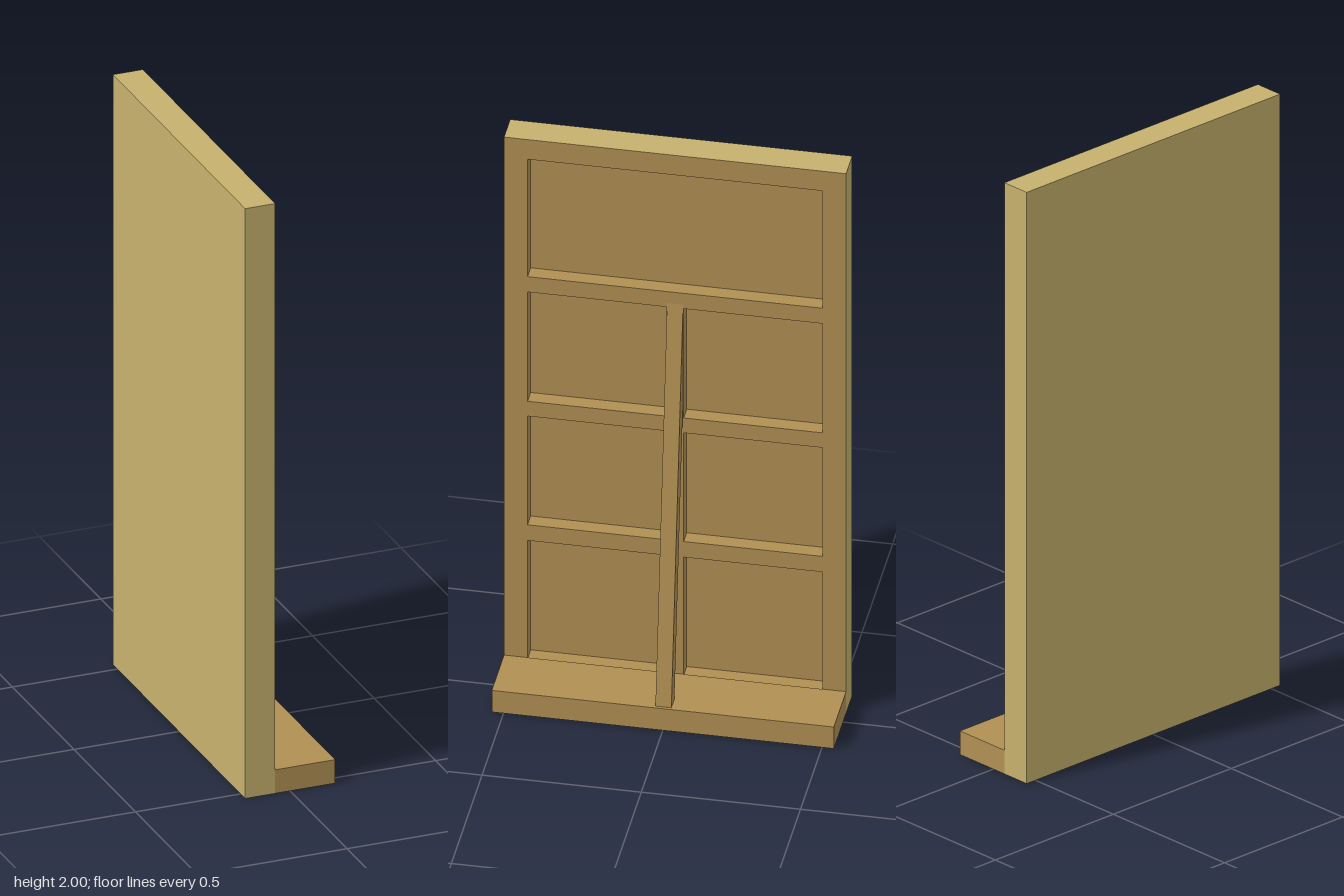
import * as THREE from 'three';

const HALF_Z = 0.537;

export function createModel() {
  const khaki = new THREE.MeshStandardMaterial({ name: 'khaki', color: 0xc6b16d });
  const wood = new THREE.MeshStandardMaterial({ name: 'brown wood', color: 0xb08f53 });
  const model = new THREE.Group();
  model.name = 'bracedPanel';

  const add = (name, geometry, material, x, y, z) => {
    const mesh = new THREE.Mesh(geometry, material);
    mesh.name = name;
    mesh.position.set(x, y, z);
    model.add(mesh);
    return mesh;
  };
  const rect = (x0, y0, x1, y1) => [
    new THREE.Vector2(x0, y0), new THREE.Vector2(x1, y0),
    new THREE.Vector2(x1, y1), new THREE.Vector2(x0, y1),
  ];

  // Rear sheet: its +x face is the floor of the recesses
  add('rearSheet', new THREE.BoxGeometry(0.05, 2, HALF_Z * 2),
    [wood, khaki, khaki, khaki, khaki, khaki], -0.125, 1, 0);

  // Frame of stiles and rails around one wide and six small recesses
  const outline = new THREE.Shape(rect(-HALF_Z, 0, HALF_Z, 2));
  const cut = (z0, y0, z1, y1) => outline.holes.push(new THREE.Path(rect(z0, y0, z1, y1).reverse()));
  cut(-0.463, 1.492, 0.463, 1.927);
  for (const [y0, y1] of [[1.03, 1.435], [0.572, 0.975], [0.076, 0.514]]) {
    cut(-0.463, y0, -0.027, y1);
    cut(0.027, y0, 0.463, y1);
  }
  const frame = new THREE.ExtrudeGeometry(outline, { depth: 0.05, bevelEnabled: false });
  // The four outer edges come first among the side walls; only they are khaki
  const [caps, walls] = frame.groups.map((g) => ({ ...g }));
  frame.clearGroups();
  frame.addGroup(caps.start, caps.count, 0);
  frame.addGroup(walls.start, 24, 1);
  frame.addGroup(walls.start + 24, walls.count - 24, 0);
  frame.rotateY(Math.PI / 2);
  add('frame', frame, [wood, khaki], -0.1, 0, 0);

  // Foot board
  add('footBoard', new THREE.BoxGeometry(0.2, 0.08, HALF_Z * 2), wood, 0.05, 0.04, 0);

  // Slanted brace from the foot board to the centre stile
  const brace = new THREE.Shape([
    new THREE.Vector2(0.09, 0.08), new THREE.Vector2(0.14, 0.08),
    new THREE.Vector2(-0.05, 1.45), new THREE.Vector2(-0.05, 1.095),
  ]);
  add('brace', new THREE.ExtrudeGeometry(brace, { depth: 0.05, bevelEnabled: false }), wood, 0, 0, -0.025);

  return model;
}
